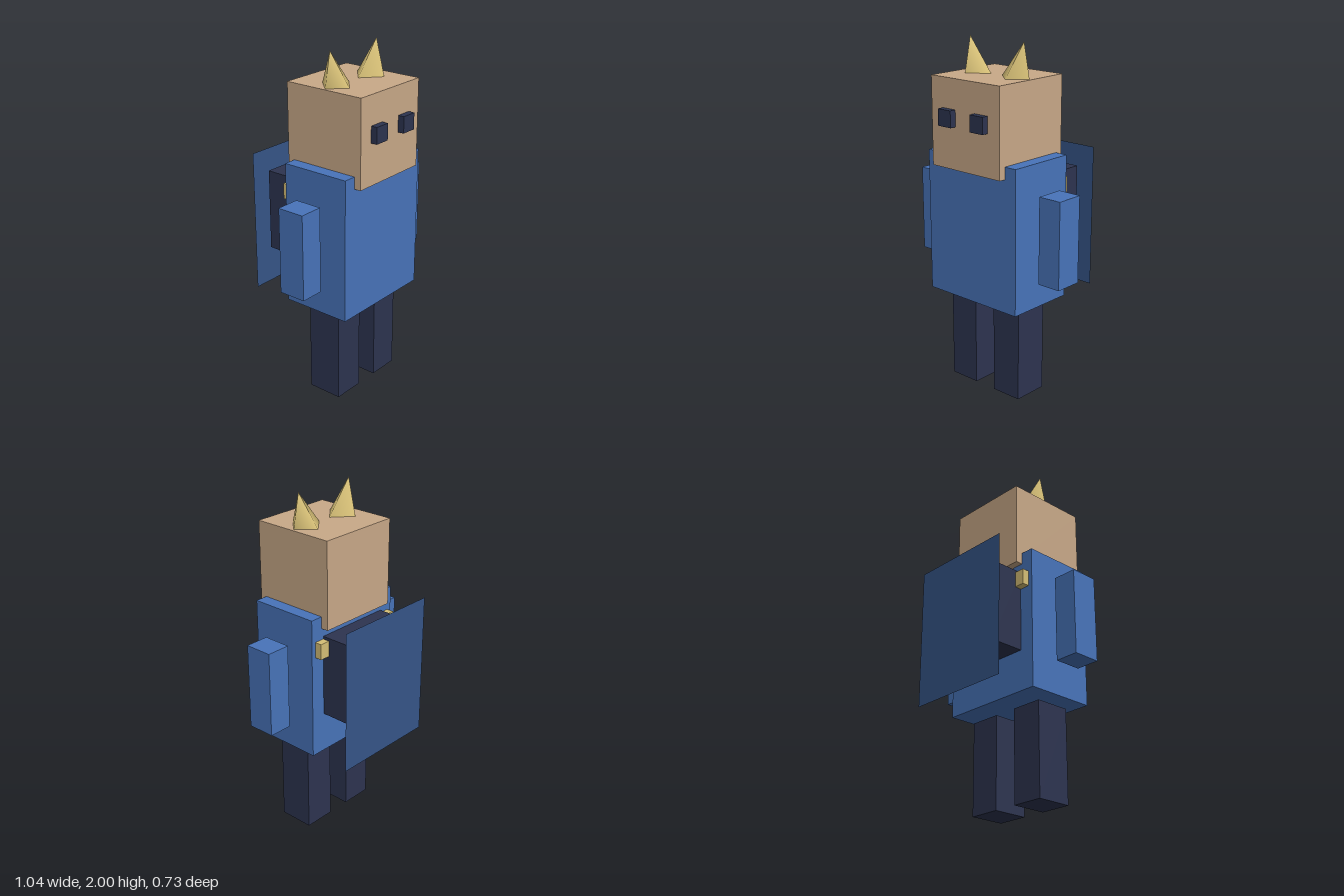
import * as THREE from 'three';

export function createModel() {
  const model = new THREE.Group();
  model.name = 'blockFigure';

  const mat = (name, color, side = THREE.FrontSide) => {
    const m = new THREE.MeshStandardMaterial({ color, side });
    m.name = name;
    return m;
  };
  const skin = mat('skin tan', 0xc9a988);
  const blue = mat('cloth blue', 0x4874ba);
  const capeBlue = mat('cape blue', 0x365588, THREE.DoubleSide);
  const navy = mat('dark navy', 0x2d3450);
  const gold = mat('gold', 0xd6bf76);

  const add = (name, geometry, material) => {
    const mesh = new THREE.Mesh(geometry, material);
    mesh.name = name;
    model.add(mesh);
    return mesh;
  };
  // Box given by its limits on each axis
  const box = (name, material, [x0, x1], [y0, y1], [z0, z1]) =>
    add(name, new THREE.BoxGeometry(x1 - x0, y1 - y0, z1 - z0), material)
      .position.set((x0 + x1) / 2, (y0 + y1) / 2, (z0 + z1) / 2);

  // Four-sided horn leaning outward, with its base on the head
  const horn = (name, s) => {
    const h = 0.192;
    const g = new THREE.ConeGeometry(0.092, h, 4, 1);
    g.translate(0, h / 2, 0);
    const p = g.attributes.position;
    for (let i = 0; i < p.count; i++) {
      const x = p.getX(i);
      p.setX(i, x * (x * s > 0 ? 0.94 : 1.16));
    }
    const lean = new THREE.Matrix4().set(
      1, s * 0.25, 0, 0,
      0, 1, 0, 0,
      0, 0, 1, 0,
      0, 0, 0, 1);
    g.applyMatrix4(lean);
    add(name, g, gold).position.set(s * 0.147, 1.808, 0.082);
  };

  // Head, torso and pack
  box('head', skin, [-0.248, 0.248], [1.312, 1.808], [-0.167, 0.328]);
  box('torso', blue, [-0.323, 0.323], [0.56, 1.38], [-0.125, 0.288]);
  box('backpack', navy, [-0.235, 0.235], [0.793, 1.263], [-0.332, -0.125]);

  // Cape: a flat sheet hanging behind the pack
  add('cape', new THREE.PlaneGeometry(0.646, 0.82).rotateY(Math.PI), capeBlue)
    .position.set(0, 0.97, -0.365);

  // Paired parts
  for (const [side, s] of [['left', 1], ['right', -1]]) {
    const span = (a, b) => (s > 0 ? [a, b] : [-b, -a]);
    box(side + 'Eye', navy, span(0.07, 0.163), [1.549, 1.642], [0.328, 0.365]);
    box(side + 'Arm', blue, span(0.378, 0.518), [0.725, 1.217], [0, 0.163]);
    box(side + 'Leg', navy, span(0.07, 0.257), [0, 0.533], [-0.02, 0.188]);
    box(side + 'Clasp', gold, span(0.237, 0.297), [1.158, 1.248], [-0.166, -0.125]);
    horn(side + 'Horn', s);
  }
  return model;
}
